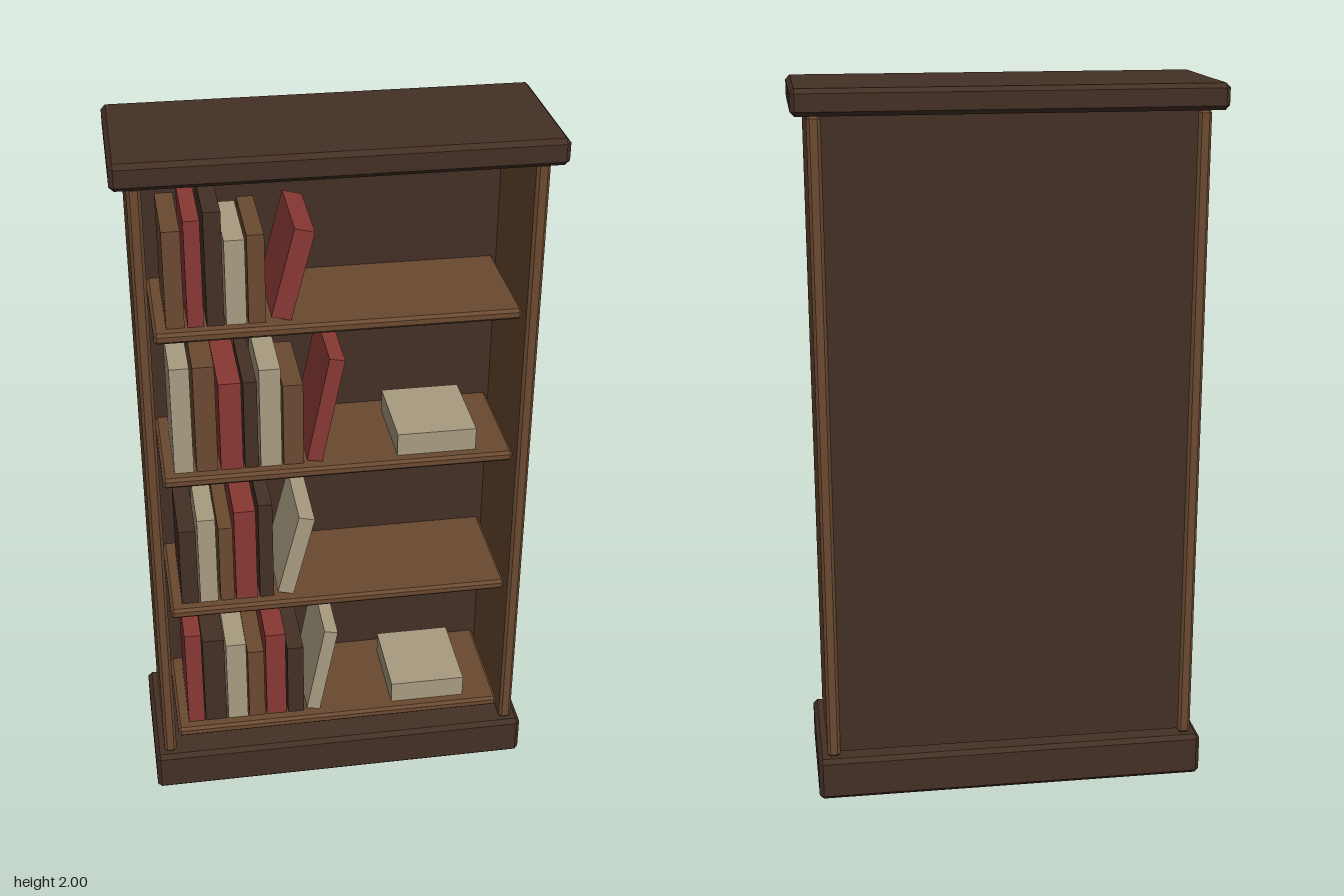
import * as THREE from 'three';
import { ConvexGeometry } from 'three/addons/geometries/ConvexGeometry.js';

const mat = (color) => new THREE.MeshStandardMaterial({ color });

// Box with every edge chamfered by c
function chamferBox(w, h, d, c) {
  const x = w / 2, y = h / 2, z = d / 2, points = [];
  for (const i of [-1, 1]) for (const j of [-1, 1]) for (const k of [-1, 1]) {
    points.push(
      new THREE.Vector3(i * x, j * (y - c), k * (z - c)),
      new THREE.Vector3(i * (x - c), j * y, k * (z - c)),
      new THREE.Vector3(i * (x - c), j * (y - c), k * z));
  }
  return new ConvexGeometry(points);
}

export function createModel() {
  const model = new THREE.Group();
  model.name = 'bookcase';
  const oak = mat(0x6a4a30), dark = mat(0x442f25), red = mat(0x873833), cream = mat(0xa89b80);
  const covers = { b: oak, d: dark, r: red, c: cream };

  function add(parent, name, geometry, material, x, y, z) {
    const mesh = new THREE.Mesh(geometry, material);
    mesh.name = name;
    mesh.position.set(x, y, z);
    parent.add(mesh);
    return mesh;
  }

  // Carcass
  add(model, 'plinth', chamferBox(1.112, 0.124, 0.414, 0.012), dark, 0, 0.062, 0);
  add(model, 'topBoard', chamferBox(1.14, 0.07, 0.436, 0.012), dark, 0, 1.965, 0);
  for (const s of [-1, 1]) {
    add(model, s > 0 ? 'leftSide' : 'rightSide',
      chamferBox(0.036, 1.804, 0.38, 0.008), oak, s * 0.511, 1.028, 0);
  }
  add(model, 'backPanel', new THREE.BoxGeometry(0.986, 1.79, 0.02), dark, 0, 1.035, -0.172);

  // Books per shelf: [cover, left x, right x, height];
  // leaning book: [cover, bottom right x, thickness, height, angle]
  const shelves = [
    { y: 0.2, flat: true, lean: ['c', -0.055, 0.04, 0.288, 0.19], books: [
      ['r', -0.45, -0.402, 0.32], ['d', -0.399, -0.336, 0.295], ['c', -0.331, -0.272, 0.272],
      ['b', -0.268, -0.22, 0.24], ['r', -0.215, -0.156, 0.295], ['d', -0.151, -0.103, 0.24]] },
    { y: 0.64, lean: ['c', -0.13, 0.046, 0.257, 0.25], books: [
      ['d', -0.45, -0.402, 0.246], ['c', -0.397, -0.346, 0.278], ['b', -0.339, -0.299, 0.246],
      ['r', -0.294, -0.233, 0.296], ['d', -0.226, -0.186, 0.312]] },
    { y: 1.08, flat: true, lean: ['r', -0.045, 0.043, 0.315, 0.2], books: [
      ['c', -0.45, -0.397, 0.32], ['b', -0.389, -0.331, 0.32], ['r', -0.323, -0.262, 0.265],
      ['d', -0.257, -0.22, 0.265], ['c', -0.214, -0.156, 0.299], ['b', -0.151, -0.096, 0.246]] },
    { y: 1.52, lean: ['r', -0.125, 0.054, 0.252, 0.255], books: [
      ['b', -0.45, -0.402, 0.27], ['r', -0.394, -0.352, 0.295], ['d', -0.344, -0.299, 0.316],
      ['c', -0.294, -0.241, 0.236], ['b', -0.236, -0.191, 0.247]] },
  ];
  const depth = 0.25, bookZ = 0.022;

  for (const { y, flat, lean, books } of shelves) {
    const row = new THREE.Group();
    row.name = 'shelfRow';
    row.position.y = y;
    model.add(row);
    add(row, 'shelf', chamferBox(0.968, 0.03, 0.345, 0.008), oak, 0, -0.015, 0.006);

    // Upright books
    for (const [cover, x0, x1, h] of books) {
      add(row, 'book', new THREE.BoxGeometry(x1 - x0, h, depth), covers[cover], (x0 + x1) / 2, h / 2, bookZ);
    }

    // Leaning book, pivoting on its lower right edge
    const [cover, x, t, h, angle] = lean;
    const tilted = new THREE.BoxGeometry(t, h, depth).translate(-t / 2, h / 2, 0);
    add(row, 'leaningBook', tilted, covers[cover], x, 0, bookZ).rotation.z = -angle;

    // Book lying flat
    if (flat) add(row, 'flatBook', new THREE.BoxGeometry(0.22, 0.066, depth), cream, 0.274, 0.033, bookZ);
  }
  return model;
}
